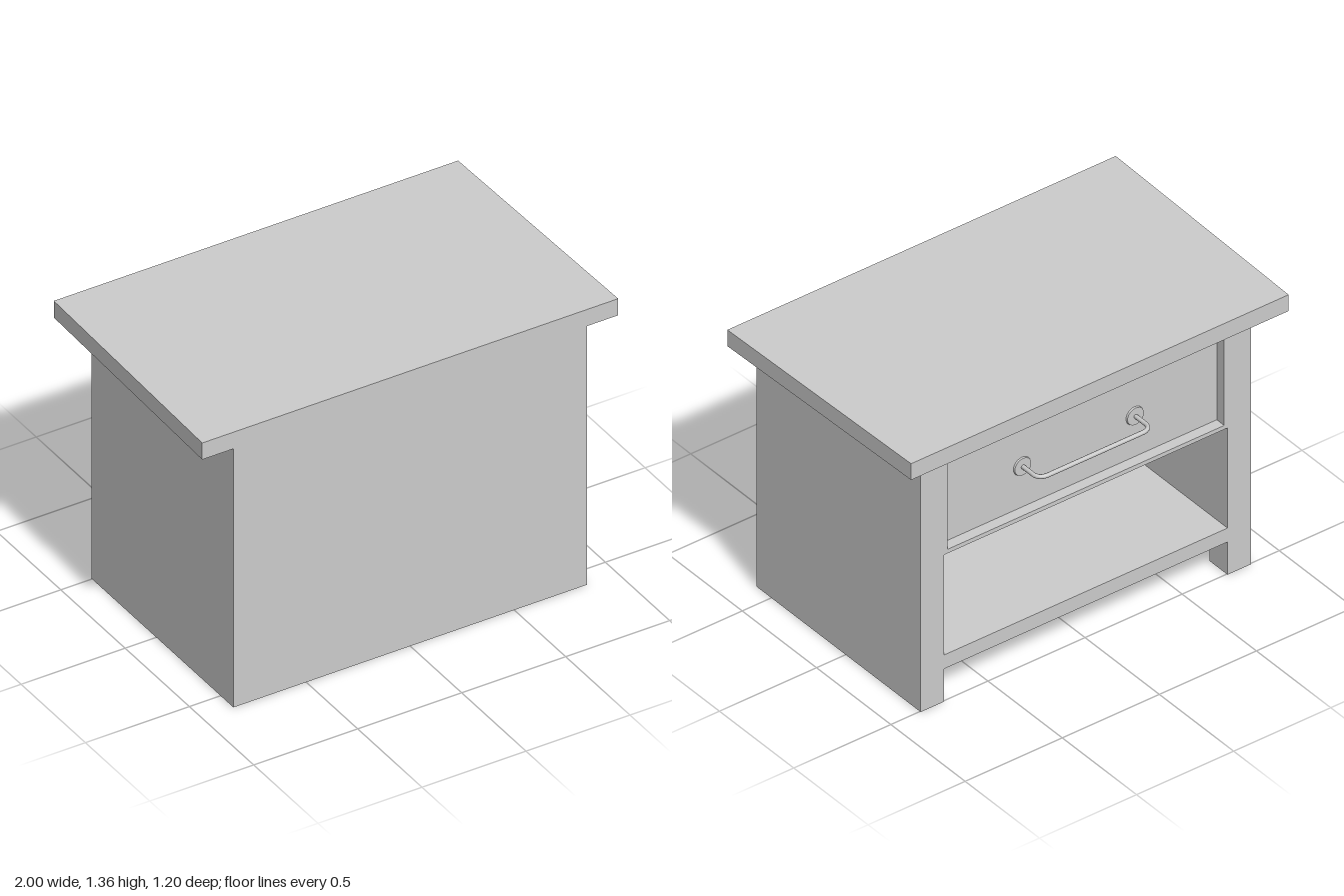
import * as THREE from 'three';

const sheet = new THREE.MeshStandardMaterial({ color: 0xcccccc, side: THREE.DoubleSide });
const solid = new THREE.MeshStandardMaterial({ color: 0xcccccc });
const FACE_Z = -0.505; // plane of the drawer side
const BACK_Z = 0.6;
const RECESS_Z = -0.455;

// Box of thin sheets, keeping only the listed sides
// (side order: 0 +x, 1 -x, 2 +y, 3 -y, 4 +z, 5 -z)
function openBox(name, halfX, y0, y1, z0, z1, sides) {
  const geo = new THREE.BoxGeometry(2 * halfX, y1 - y0, z1 - z0);
  const all = Array.from(geo.index.array);
  geo.setIndex(sides.flatMap((s) => all.slice(s * 6, s * 6 + 6)));
  geo.clearGroups();
  geo.translate(0, (y0 + y1) / 2, (z0 + z1) / 2);
  const mesh = new THREE.Mesh(geo, sheet);
  mesh.name = name;
  return mesh;
}

function rectHole(halfX, y0, y1) {
  return new THREE.Path([
    new THREE.Vector2(-halfX, y0), new THREE.Vector2(-halfX, y1),
    new THREE.Vector2(halfX, y1), new THREE.Vector2(halfX, y0),
  ]);
}

// Face frame: two feet, with openings for the drawer and the shelf
function makeFaceFrame() {
  const outline = [
    [-0.85, 0], [-0.73, 0], [-0.73, 0.165], [0.73, 0.165],
    [0.73, 0], [0.85, 0], [0.85, 1.28], [-0.85, 1.28],
  ].map(([x, y]) => new THREE.Vector2(x, y));
  const shape = new THREE.Shape(outline);
  shape.holes.push(rectHole(0.73, 0.235, 0.74), rectHole(0.713, 0.76, 1.21));
  const geo = new THREE.ShapeGeometry(shape);
  geo.rotateY(Math.PI); // face toward -z
  const mesh = new THREE.Mesh(geo, sheet);
  mesh.position.z = FACE_Z;
  mesh.name = 'faceFrame';
  return mesh;
}

// Table top, slightly narrower on the drawer side
function makeTop() {
  const geo = new THREE.BoxGeometry(2, 0.082, 1.2);
  const pos = geo.attributes.position;
  for (let i = 0; i < pos.count; i++) {
    if (pos.getZ(i) < 0) pos.setX(i, pos.getX(i) * 0.972);
  }
  geo.computeVertexNormals();
  const mesh = new THREE.Mesh(geo, solid);
  mesh.position.y = 1.319;
  mesh.name = 'tableTop';
  return mesh;
}

// Bent bar handle with a round plate at each end
function makeHandle() {
  const handle = new THREE.Group();
  handle.name = 'drawerHandle';
  const v = (x, z) => new THREE.Vector3(x, 0, z);
  const path = new THREE.CurvePath();
  path.add(new THREE.LineCurve3(v(-0.29, 0.01), v(-0.29, -0.08)));
  path.add(new THREE.QuadraticBezierCurve3(v(-0.29, -0.08), v(-0.285, -0.115), v(-0.24, -0.115)));
  path.add(new THREE.LineCurve3(v(-0.24, -0.115), v(0.24, -0.115)));
  path.add(new THREE.QuadraticBezierCurve3(v(0.24, -0.115), v(0.285, -0.115), v(0.29, -0.08)));
  path.add(new THREE.LineCurve3(v(0.29, -0.08), v(0.29, 0.01)));
  const bar = new THREE.Mesh(new THREE.TubeGeometry(path, 60, 0.01, 8), solid);
  bar.name = 'handleBar';
  handle.add(bar);
  for (const side of [-1, 1]) {
    const plate = new THREE.Mesh(new THREE.CylinderGeometry(0.042, 0.045, 0.008, 24), solid);
    plate.rotation.x = -Math.PI / 2;
    plate.position.set(side * 0.29, 0, -0.003);
    plate.name = 'handlePlate';
    handle.add(plate);
  }
  handle.position.set(0, 0.967, RECESS_Z);
  return handle;
}

export function createModel() {
  const model = new THREE.Group();
  model.name = 'nightstand';
  model.add(
    makeTop(),
    openBox('sideAndBackPanels', 0.85, 0, 1.28, FACE_Z, BACK_Z, [0, 1, 4]),
    makeFaceFrame(),
    openBox('shelfCompartment', 0.73, 0.235, 0.74, FACE_Z, 0.35, [0, 1, 2, 3, 4]),
    openBox('drawerFront', 0.713, 0.76, 1.21, FACE_Z, RECESS_Z, [0, 1, 2, 3, 4]),
    openBox('footReturns', 0.73, 0, 0.165, FACE_Z, -0.385, [0, 1, 2]),
    makeHandle(),
  );
  return model;
}
